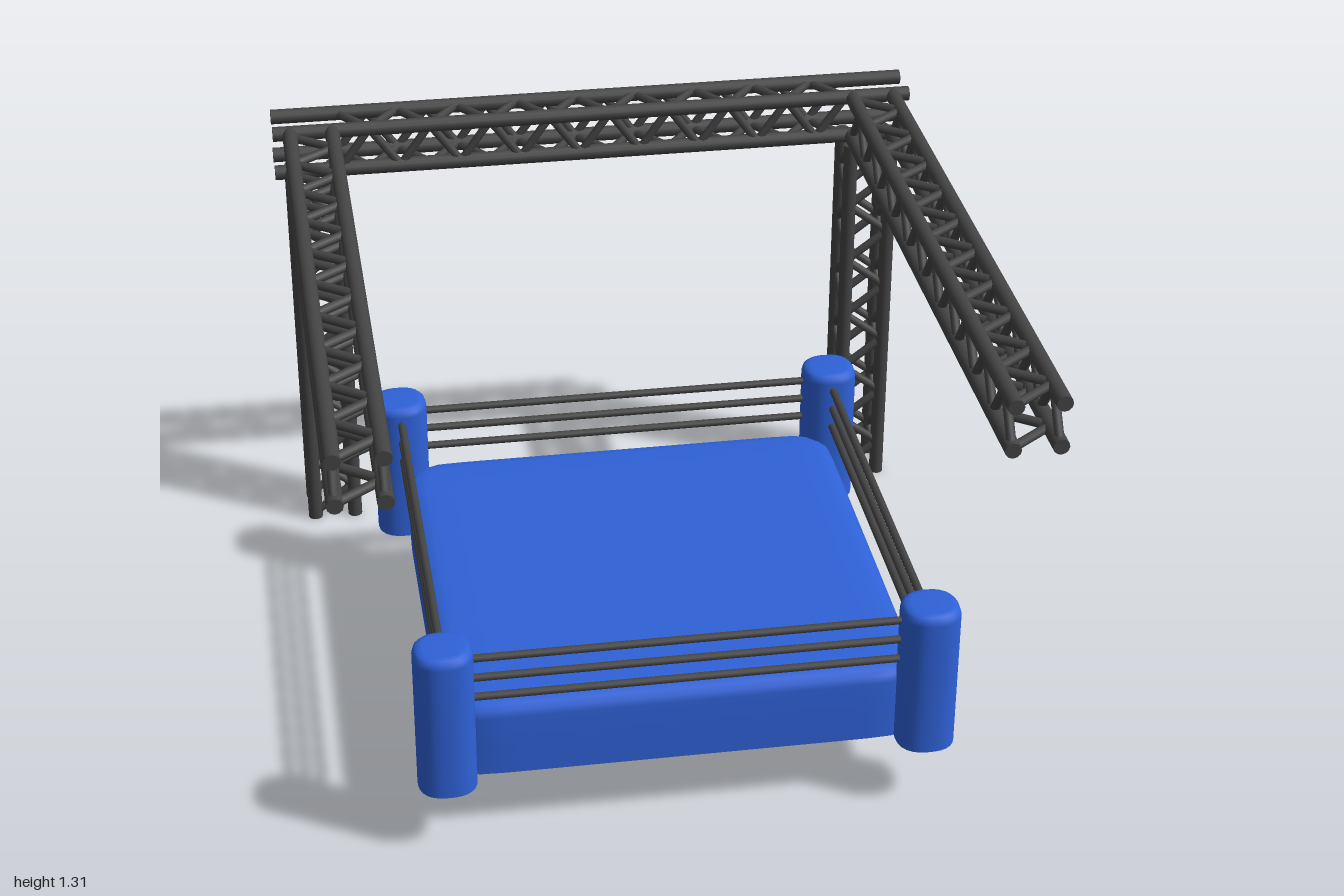
import * as THREE from 'three';
import { mergeGeometries } from 'three/addons/utils/BufferGeometryUtils.js';

const metal = new THREE.MeshStandardMaterial({ color: 0x444444 });
const padding = new THREE.MeshStandardMaterial({ color: 0x2f62d8 });
const V = (x, y, z) => new THREE.Vector3(x, y, z);
const UP = V(0, 1, 0);

// Round bar between two points
function bar(a, b, radius, sides) {
  const d = b.clone().sub(a);
  const g = new THREE.CylinderGeometry(radius, radius, d.length(), sides);
  g.applyQuaternion(new THREE.Quaternion().setFromUnitVectors(UP, d.normalize()));
  const m = a.clone().add(b).multiplyScalar(0.5);
  return g.translate(m.x, m.y, m.z);
}

// Square box truss: four chords along dir, with a zigzag lattice on each of the four faces
function truss(name, start, dir, u, v, length, from, to, steps) {
  const h = 0.061;
  const at = (t, a, b) => start.clone().addScaledVector(dir, t)
    .addScaledVector(u, a * h).addScaledVector(v, b * h);
  const parts = [];
  for (const a of [-1, 1]) for (const b of [-1, 1])
    parts.push(bar(at(0, a, b), at(length, a, b), 0.0215, 12));
  const step = (to - from) / steps;
  for (let i = 0; i < steps; i++) {
    const t0 = from + i * step, t1 = t0 + step, s = i % 2 ? 1 : -1;
    for (const side of [-1, 1]) {
      parts.push(bar(at(t0, s, side), at(t1, -s, side), 0.0125, 8));
      parts.push(bar(at(t0, side, s), at(t1, side, -s), 0.0125, 8));
    }
  }
  const mesh = new THREE.Mesh(mergeGeometries(parts), metal);
  mesh.name = name;
  return mesh;
}

// Soft-cornered solid: superellipse rings of [y, half width], closed at both ends
function cushion(rings, power, segments) {
  const pos = [], index = [], row = segments + 1;
  const ring = (y, half) => {
    for (let j = 0; j <= segments; j++) {
      const t = (j / segments) * Math.PI * 2, c = Math.cos(t), s = Math.sin(t);
      const r = half * (Math.abs(c) ** power + Math.abs(s) ** power) ** (-1 / power);
      pos.push(r * c, y, r * s);
    }
  };
  const [y0, w0] = rings[0];
  const last = rings[rings.length - 1];
  // the bottom edge is doubled to stay crisp
  const all = [[y0, 0], [y0, w0], ...rings, [last[0], 0]];
  all.forEach(([y, w]) => ring(y, w));
  for (let i = 0; i < all.length - 1; i++) {
    if (i === 1) continue;
    for (let j = 0; j < segments; j++) {
      const a = i * row + j, b = a + row;
      index.push(a, b, a + 1, a + 1, b, b + 1);
    }
  }
  const g = new THREE.BufferGeometry();
  g.setAttribute('position', new THREE.Float32BufferAttribute(pos, 3));
  g.setIndex(index);
  g.computeVertexNormals();
  return g;
}

export function createModel() {
  const model = new THREE.Group();
  const X = V(1, 0, 0), Y = V(0, 1, 0), Z = V(0, 0, 1), back = V(0, 0, -1);

  // Overhead frame: two legs, two forward arms and the rear crossbeam
  const frame = new THREE.Group();
  frame.name = 'lightingFrame';
  for (const s of [-1, 1]) {
    const side = s > 0 ? 'left' : 'right';
    frame.add(truss(side + 'Leg', V(s * 0.828, 0, -0.893), Y, X, back, 1.145, 0.015, 1.13, 12));
    frame.add(truss(side + 'Arm', V(s * 0.83, 1.229, 1), back, X, Y, 1.86, 0.015, 1.83, 20));
  }
  frame.add(truss('rearCrossbeam', V(-0.94, 1.229, -0.9175), X, Y, Z, 1.88, 0.19, 1.69, 17));
  model.add(frame);

  // Padded ring
  const ring = new THREE.Group();
  ring.name = 'ring';
  ring.position.set(0, 0, 0.175);
  const floor = new THREE.Mesh(cushion([
    [0.185, 0.63], [0.27, 0.63], [0.36, 0.629], [0.38, 0.624], [0.392, 0.61], [0.398, 0.58], [0.402, 0.5],
  ], 18, 96), padding);
  floor.name = 'ringFloor';
  ring.add(floor);

  // Corner posts
  const postGeometry = cushion([
    [0.185, 0.078], [0.4, 0.078], [0.585, 0.078], [0.599, 0.074], [0.607, 0.066], [0.61, 0.052],
  ], 2.5, 32);
  const r = 0.637;
  for (const x of [-r, r]) for (const z of [-r, r]) {
    const post = new THREE.Mesh(postGeometry, padding);
    post.name = 'cornerPost';
    post.position.set(x, 0, z);
    ring.add(post);
  }

  // Three ropes on each side
  for (const y of [0.443, 0.503, 0.563]) {
    for (const s of [-r, r]) {
      const ropes = [bar(V(-r, y, s), V(r, y, s), 0.011, 10), bar(V(s, y, -r), V(s, y, r), 0.011, 10)];
      for (const g of ropes) {
        const rope = new THREE.Mesh(g, metal);
        rope.name = 'rope';
        ring.add(rope);
      }
    }
  }
  model.add(ring);
  return model;
}
